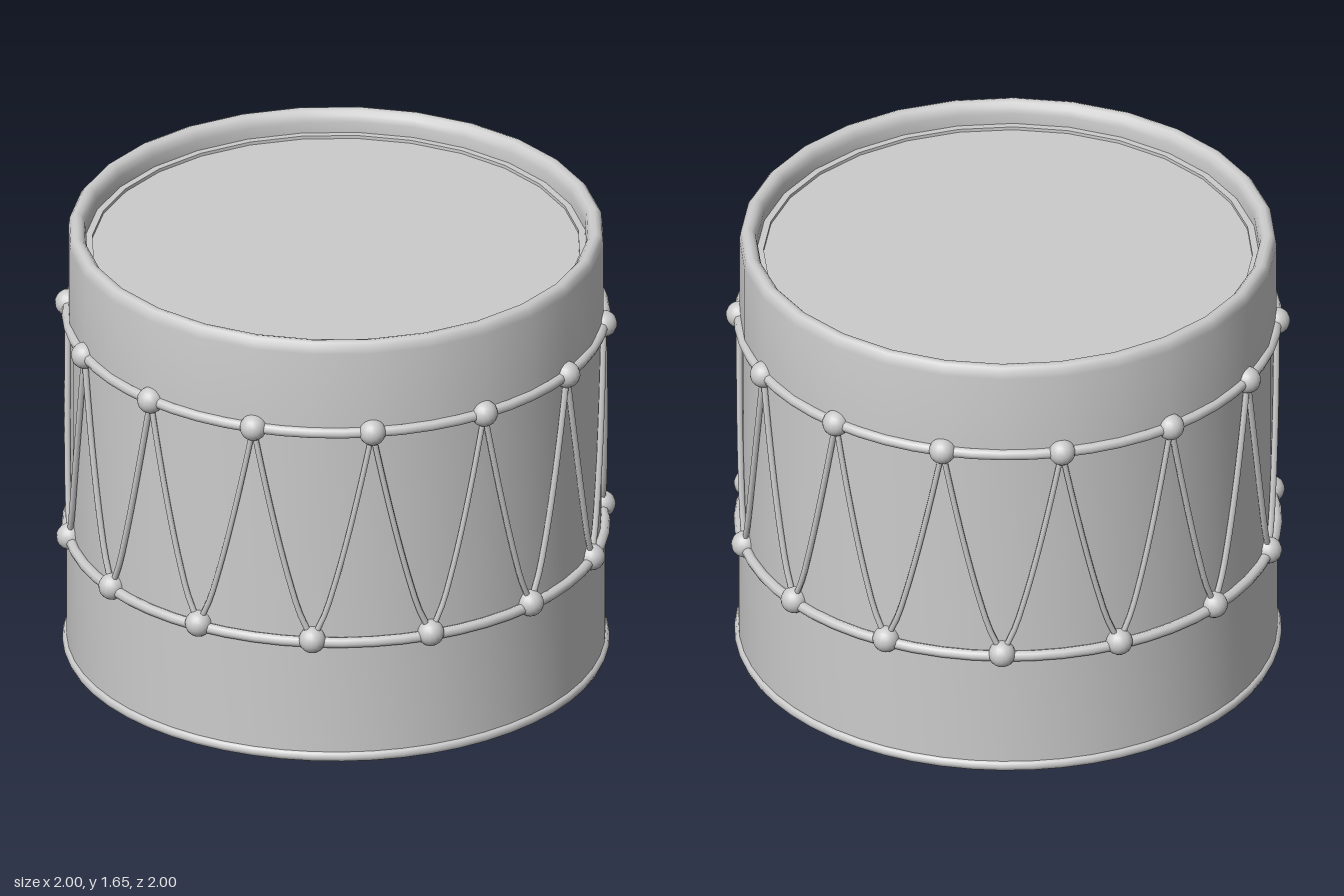
import * as THREE from 'three';
import { toCreasedNormals } from 'three/addons/utils/BufferGeometryUtils.js';

const COUNT = 14;            // knots on each hoop
const STEP = Math.PI / COUNT; // angle from an upper knot to the next lower one
const UPPER_Y = 1.3, LOWER_Y = 0.48, HOOP_R = 0.952;

const material = new THREE.MeshStandardMaterial({ color: 0xcccccc });

function add(parent, name, geometry) {
  const mesh = new THREE.Mesh(geometry, material);
  mesh.name = name;
  parent.add(mesh);
  return mesh;
}

// Turned part from [radius, height] pairs, with sharp corners kept
function turned(points, sides) {
  const profile = points.map(([r, y]) => new THREE.Vector2(r, y));
  return toCreasedNormals(new THREE.LatheGeometry(profile, sides), 0.7);
}

function around(angle, radius, y) {
  return new THREE.Vector3(Math.sin(angle) * radius, y, Math.cos(angle) * radius);
}

function addHoop(parent, name, radius, y, tube) {
  const hoop = add(parent, name, new THREE.TorusGeometry(radius, tube, 8, 56));
  hoop.rotation.x = Math.PI / 2;
  hoop.position.y = y;
}

export function createModel() {
  const drum = new THREE.Group();
  drum.name = 'drum';

  // Shell with a recessed underside and a slightly wider lower band
  add(drum, 'shell', turned([
    [0, 0.16], [0.925, 0.16], [0.925, 0.02], [0.955, 0.02],
    [0.955, 0.47], [0.94, 0.47], [0.94, 1.32],
  ], 56));

  // Upper band with a rounded lip, stepping down inside to the head
  add(drum, 'upperBand', turned([
    [0.93, 1.29], [0.952, 1.29], [0.952, 1.61], [0.948, 1.635], [0.938, 1.648],
    [0.925, 1.653], [0.908, 1.648], [0.896, 1.635], [0.89, 1.61],
    [0.89, 1.57], [0.866, 1.57], [0.866, 1.55],
  ], 28));
  add(drum, 'drumHead', turned([[0.88, 1.558], [0, 1.558]], 56));

  // Hoops
  addHoop(drum, 'bottomHoop', 0.95, 0.02, 0.02);
  addHoop(drum, 'lowerHoop', HOOP_R, 0.47, 0.02);
  addHoop(drum, 'upperHoop', HOOP_R, UPPER_Y, 0.02);

  // Knots and zigzag cords
  const knots = new THREE.Group();
  knots.name = 'knots';
  const cords = new THREE.Group();
  cords.name = 'cords';
  drum.add(knots, cords);
  const knotGeometry = new THREE.SphereGeometry(0.048, 16, 12);

  for (let i = 0; i < COUNT; i++) {
    const low = 2 * i * STEP;
    const high = low + STEP;
    for (const [name, angle, y] of [['lowerKnot', low, LOWER_Y], ['upperKnot', high, UPPER_Y]]) {
      const knot = add(knots, name, knotGeometry);
      knot.position.copy(around(angle, HOOP_R, y));
    }
    // Each cord bows outward a little as it leaves the lower knot
    for (const side of [-1, 1]) {
      const path = [];
      for (let k = 0; k <= 8; k++) {
        const t = k / 8;
        path.push(around(low + side * STEP * Math.pow(t, 0.75), HOOP_R,
          LOWER_Y + (UPPER_Y - LOWER_Y) * t));
      }
      add(cords, 'cord', new THREE.TubeGeometry(new THREE.CatmullRomCurve3(path), 16, 0.011, 6));
    }
  }
  return drum;
}
